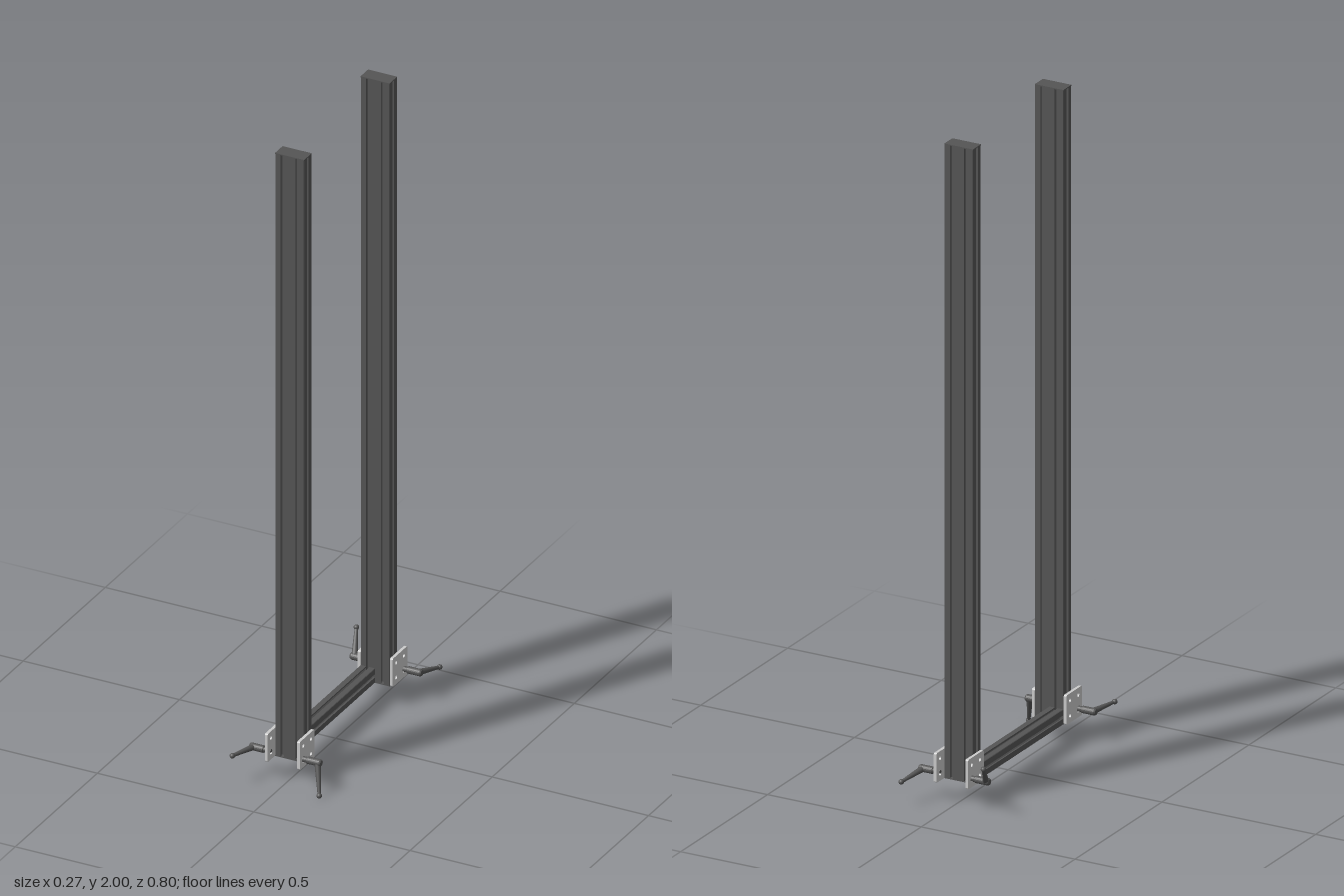
import * as THREE from 'three';

const S = 0.0465;          // side of one profile module
const BASE = 0.065;        // underside of posts and beam
const FRONT_Z = 0.2585, BACK_Z = -0.262;

const dark = new THREE.MeshStandardMaterial({ color: 0x555555 });
const plateMat = new THREE.MeshStandardMaterial({ color: 0xcccccc });

function addMesh(parent, name, geometry, material) {
  const mesh = new THREE.Mesh(geometry, material);
  mesh.name = name;
  parent.add(mesh);
  return mesh;
}

// Outline of a T-slot profile, several modules wide and one module deep
function slotProfile(modules) {
  const slot = [[-0.005, 0], [-0.005, 0.0045], [-0.0095, 0.0045], [-0.0095, 0.009], [-0.006, 0.0125],
    [0.006, 0.0125], [0.0095, 0.009], [0.0095, 0.0045], [0.005, 0.0045], [0.005, 0]];
  const points = [];
  for (let side = 0; side < 4; side++) {
    const angle = side * Math.PI / 2;
    const count = side % 2 ? 1 : modules;
    const offset = (side % 2 ? modules : 1) * S / 2;
    const place = (t, depth) => points.push(
      new THREE.Vector2(t, depth - offset).rotateAround(new THREE.Vector2(), angle));
    place(-count * S / 2 + 0.0015, 0);
    for (let i = 0; i < count; i++) {
      const centre = (i - (count - 1) / 2) * S;
      slot.forEach(([t, depth]) => place(centre + t, depth));
    }
    place(count * S / 2 - 0.0015, 0);
  }
  return new THREE.Shape(points);
}

function extrude(shape, depth) {
  return new THREE.ExtrudeGeometry(shape, { depth, bevelEnabled: false, curveSegments: 8 });
}

// Upright double profile closed by end caps
function makePost(name, z) {
  const post = new THREE.Group();
  post.name = name;
  post.position.set(0, BASE, z);
  const cap = 0.003, height = 2 - BASE;
  const body = extrude(slotProfile(2), height - 2 * cap);
  body.rotateX(-Math.PI / 2);
  addMesh(post, 'postProfile', body, dark).position.y = cap;
  for (const y of [cap / 2, height - cap / 2]) {
    addMesh(post, 'endCap', new THREE.BoxGeometry(2 * S, cap, S), dark).position.y = y;
  }
  return post;
}

// Square plate with rounded corners and four holes, lying in the local XY plane
function plateGeometry() {
  const h = 0.045, r = 0.005, thickness = 0.009;
  const shape = new THREE.Shape();
  shape.moveTo(-h + r, -h);
  [[h - r, -h + r, -Math.PI / 2], [h - r, h - r, 0], [-h + r, h - r, Math.PI / 2], [-h + r, -h + r, Math.PI]]
    .forEach(([x, y, a]) => shape.absarc(x, y, r, a, a + Math.PI / 2, false));
  for (const x of [-1, 1]) for (const y of [-1, 1]) {
    const hole = new THREE.Path();
    hole.absarc(x * 0.0235, y * 0.0235, 0.006, 0, Math.PI * 2, true);
    shape.holes.push(hole);
  }
  const geometry = extrude(shape, thickness);
  geometry.translate(0, 0, -thickness / 2);
  geometry.rotateY(Math.PI / 2);
  return geometry;
}

// Clamping lever: stepped hub along x, then a tapering arm with a ball
function makeLever(side, z, tipY, tipZ) {
  const lever = new THREE.Group();
  lever.name = 'clampLever';
  const y = 0.092;
  const hubProfile = [[0, 0.046], [0.0055, 0.046], [0.0055, 0.056], [0.0085, 0.056], [0.0085, 0.068],
    [0.0108, 0.07], [0.0108, 0.11], [0.0085, 0.114], [0, 0.115]]
    .map(([r, x]) => new THREE.Vector2(r, x));
  const hub = new THREE.LatheGeometry(hubProfile, 20);
  const hubMesh = addMesh(lever, 'leverHub', hub.toNonIndexed(), dark);
  hubMesh.geometry.computeVertexNormals();
  hubMesh.position.set(0, y, z);
  hubMesh.rotation.z = -side * Math.PI / 2;

  const start = new THREE.Vector3(side * 0.102, y, z);
  const tip = new THREE.Vector3(side * 0.126, tipY, tipZ);
  const direction = tip.clone().sub(start);
  const arm = addMesh(lever, 'leverArm',
    new THREE.CylinderGeometry(0.0045, 0.0095, direction.length(), 16), dark);
  arm.position.copy(start).add(tip).multiplyScalar(0.5);
  arm.quaternion.setFromUnitVectors(new THREE.Vector3(0, 1, 0), direction.normalize());
  addMesh(lever, 'leverBall', new THREE.SphereGeometry(0.008, 20, 14), dark).position.copy(tip);
  return lever;
}

export function createModel() {
  const model = new THREE.Group();
  model.name = 'uprightFrame';

  model.add(makePost('frontPost', FRONT_Z), makePost('backPost', BACK_Z));

  // Single-profile beam between the posts, set to one side
  const backEnd = BACK_Z + S / 2, frontEnd = FRONT_Z - S / 2;
  const beam = addMesh(model, 'crossBeam', extrude(slotProfile(1), frontEnd - backEnd), dark);
  beam.position.set(-S / 2, BASE + S / 2, backEnd);

  // Plates on both sides of each post
  const plate = plateGeometry();
  for (const z of [0.281, -0.2845]) for (const side of [-1, 1]) {
    addMesh(model, 'clampPlate', plate, plateMat).position.set(side * 0.0515, 0.11, z);
  }

  // Each lever is turned to its own angle
  [[1, 0.305, 0.008, 0.341], [-1, 0.305, 0.097, 0.39],
    [1, -0.308, 0.075, -0.392], [-1, -0.308, 0.153, -0.365]]
    .forEach(args => model.add(makeLever(...args)));

  return model;
}
